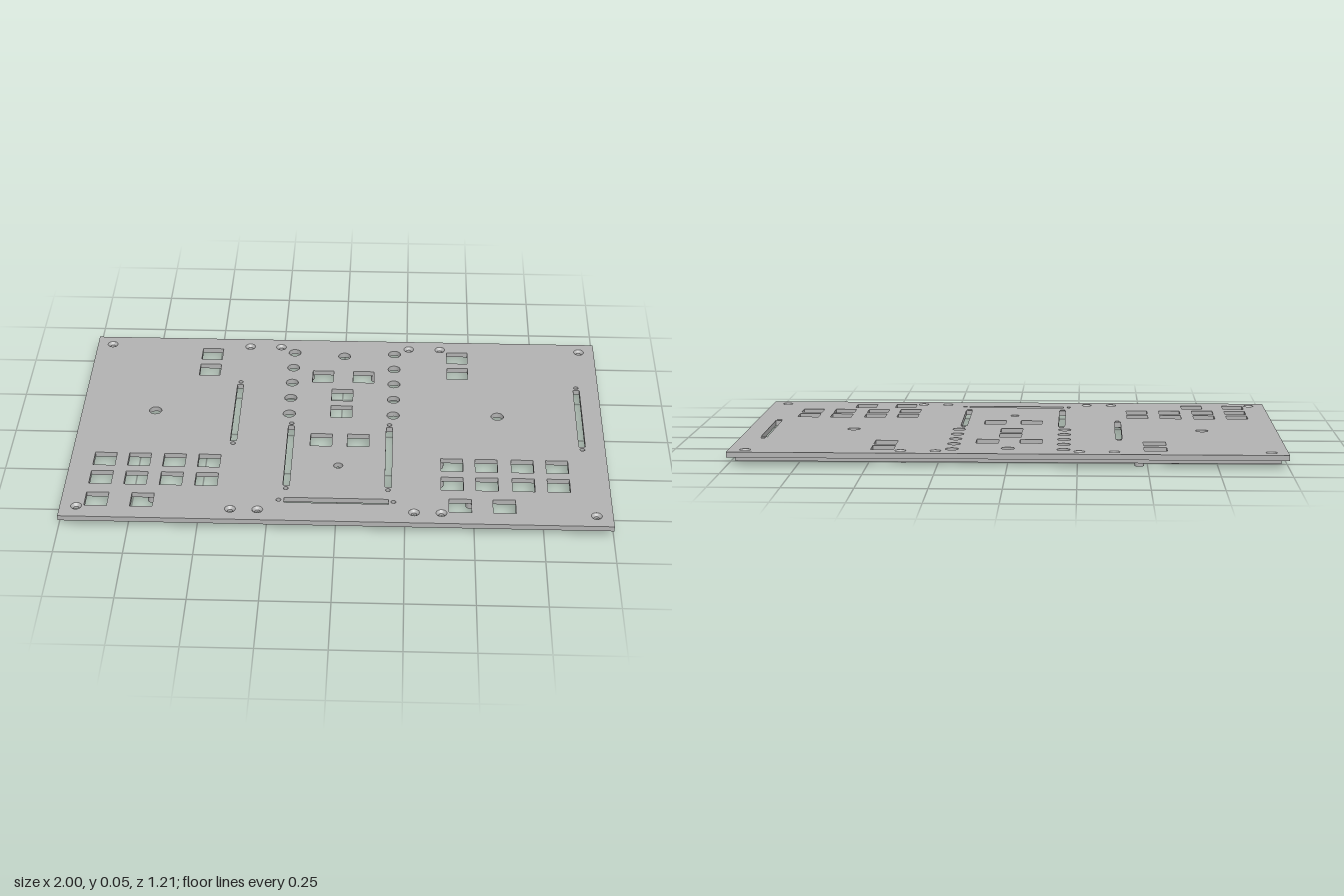
import * as THREE from 'three';

const TOP = 0.051, PLATE_BOTTOM = 0.031, RIM_BOTTOM = 0.015;

// Shapes are drawn in (x, z)
function rectPath(x, z, w, d, Type = THREE.Path) {
  const p = new Type();
  p.moveTo(x - w / 2, z - d / 2);
  p.lineTo(x + w / 2, z - d / 2);
  p.lineTo(x + w / 2, z + d / 2);
  p.lineTo(x - w / 2, z + d / 2);
  p.closePath();
  return p;
}

function circlePath(x, z, r) {
  const p = new THREE.Path();
  p.absarc(x, z, r, 0, Math.PI * 2, true);
  return p;
}

// Extrudes an (x, z) shape downwards from yTop to yBottom
function slab(shape, yTop, yBottom) {
  const g = new THREE.ExtrudeGeometry(shape, { depth: yTop - yBottom, bevelEnabled: false, curveSegments: 12 });
  g.rotateX(Math.PI / 2);
  g.translate(0, yTop, 0);
  return g;
}

export function createModel() {
  const group = new THREE.Group();
  const grey = new THREE.MeshStandardMaterial({ color: 0xb3b3b3 });
  grey.name = 'plate grey';
  const add = (geometry, name) => {
    const m = new THREE.Mesh(geometry, grey);
    m.name = name;
    group.add(m);
    return m;
  };

  // Square button openings
  const buttons = [
    [-0.53, -0.49], [-0.53, -0.375], [0.45, -0.49], [0.45, -0.375],
    [-0.08, -0.34], [0.08, -0.34], [0, -0.21], [0, -0.095], [-0.07, 0.097], [0.07, 0.097],
    [-0.872, 0.497], [-0.706, 0.497], [0.45, 0.497], [0.61, 0.497],
  ];
  for (const z of [0.246, 0.363]) {
    for (const x of [-0.872, -0.743, -0.612, -0.482, 0.422, 0.55, 0.684, 0.813]) buttons.push([x, z]);
  }

  // Round openings: x, z, radius
  const rounds = [[0, -0.49, 0.024], [-0.717, -0.08, 0.024], [0.6, -0.08, 0.024], [0, 0.262, 0.017]];
  for (const z of [-0.51, -0.4, -0.292, -0.184, -0.075]) {
    for (const s of [-1, 1]) rounds.push([s * 0.2, z, 0.024]);
  }

  // Slider slots with a small screw hole beyond each end
  const slots = [[0, 0.482, 0.38, 0.03]];
  rounds.push([-0.21, 0.482, 0.009], [0.208, 0.482, 0.009]);
  for (const [x, z] of [[-0.402, -0.08], [0.914, -0.08], [-0.187, 0.2], [0.187, 0.2]]) {
    slots.push([x, z, 0.024, 0.385]);
    rounds.push([x, z - 0.21, 0.009], [x, z + 0.21, 0.009]);
  }

  // Countersunk screw positions
  const screws = [];
  for (const s of [-1, 1]) {
    for (const x of [0.94, 0.382, 0.257]) screws.push([s * x, -0.55]);
    for (const x of [0.94, 0.382, 0.283]) screws.push([s * x, 0.543]);
  }

  // Top plate
  const plate = rectPath(0, 0, 2, 1.21, THREE.Shape);
  for (const [x, z] of buttons) plate.holes.push(rectPath(x, z, 0.082, 0.08));
  for (const [x, z, r] of rounds) plate.holes.push(circlePath(x, z, r));
  for (const [x, z, w, d] of slots) plate.holes.push(rectPath(x, z, w, d));
  for (const [x, z] of screws) plate.holes.push(circlePath(x, z, 0.02));
  add(slab(plate, TOP, PLATE_BOTTOM), 'topPlate');

  // Conical seats inside the screw holes
  const seat = new THREE.LatheGeometry([
    new THREE.Vector2(0.02, PLATE_BOTTOM), new THREE.Vector2(0.01, PLATE_BOTTOM),
    new THREE.Vector2(0.01, 0.041), new THREE.Vector2(0.0201, TOP),
  ].reverse(), 20).toNonIndexed();
  seat.computeVertexNormals();
  const seatMaterial = grey.clone();
  seatMaterial.side = THREE.DoubleSide;
  for (const [x, z] of screws) {
    const m = add(seat, 'screwSeat');
    m.material = seatMaterial;
    m.position.set(x, 0, z);
  }

  // Rim under the plate
  const rim = rectPath(0, 0, 1.945, 1.155, THREE.Shape);
  rim.holes.push(rectPath(0, 0, 1.915, 1.125));
  add(slab(rim, PLATE_BOTTOM, RIM_BOTTOM), 'underRim');

  // Paired dividing ribs between the three bays
  for (const s of [-1, 1]) {
    for (const x of [0.345, 0.308]) {
      const rib = add(new THREE.BoxGeometry(0.014, PLATE_BOTTOM - RIM_BOTTOM, 1.125), 'dividingRib');
      rib.position.set(s * x, (PLATE_BOTTOM + RIM_BOTTOM) / 2, 0);
    }
  }

  // Support pegs
  const pegs = [
    [-0.42, 0.305], [-0.677, 0.305], [-0.808, 0.305], [-0.808, 0.187], [-0.547, 0.187],
    [-0.677, 0.43], [-0.808, 0.43], [-0.94, 0.43], [-0.79, 0.545], [-0.6, 0.5], [-0.77, 0.035],
    [0.875, 0.187], [0.875, 0.305], [0.745, 0.305], [0.615, 0.305], [0.615, 0.187],
    [0.375, 0.187], [0.375, 0.305], [0.488, 0.43], [0.53, 0.5],
    [-0.6, -0.49], [-0.47, -0.545], [-0.47, -0.37], [-0.6, -0.305],
    [0.375, -0.4], [0.375, -0.49], [0.515, -0.43], [0.545, -0.305],
    [0.125, -0.4], [-0.135, -0.4], [-0.065, -0.2], [-0.065, -0.12],
    [0.125, -0.025], [0.125, 0.16], [-0.135, 0.16], [-0.135, 0.035],
  ];
  const pegGeometry = new THREE.CylinderGeometry(0.017, 0.017, PLATE_BOTTOM, 16);
  for (const [x, z] of pegs) add(pegGeometry, 'supportPeg').position.set(x, PLATE_BOTTOM / 2, z);

  return group;
}
